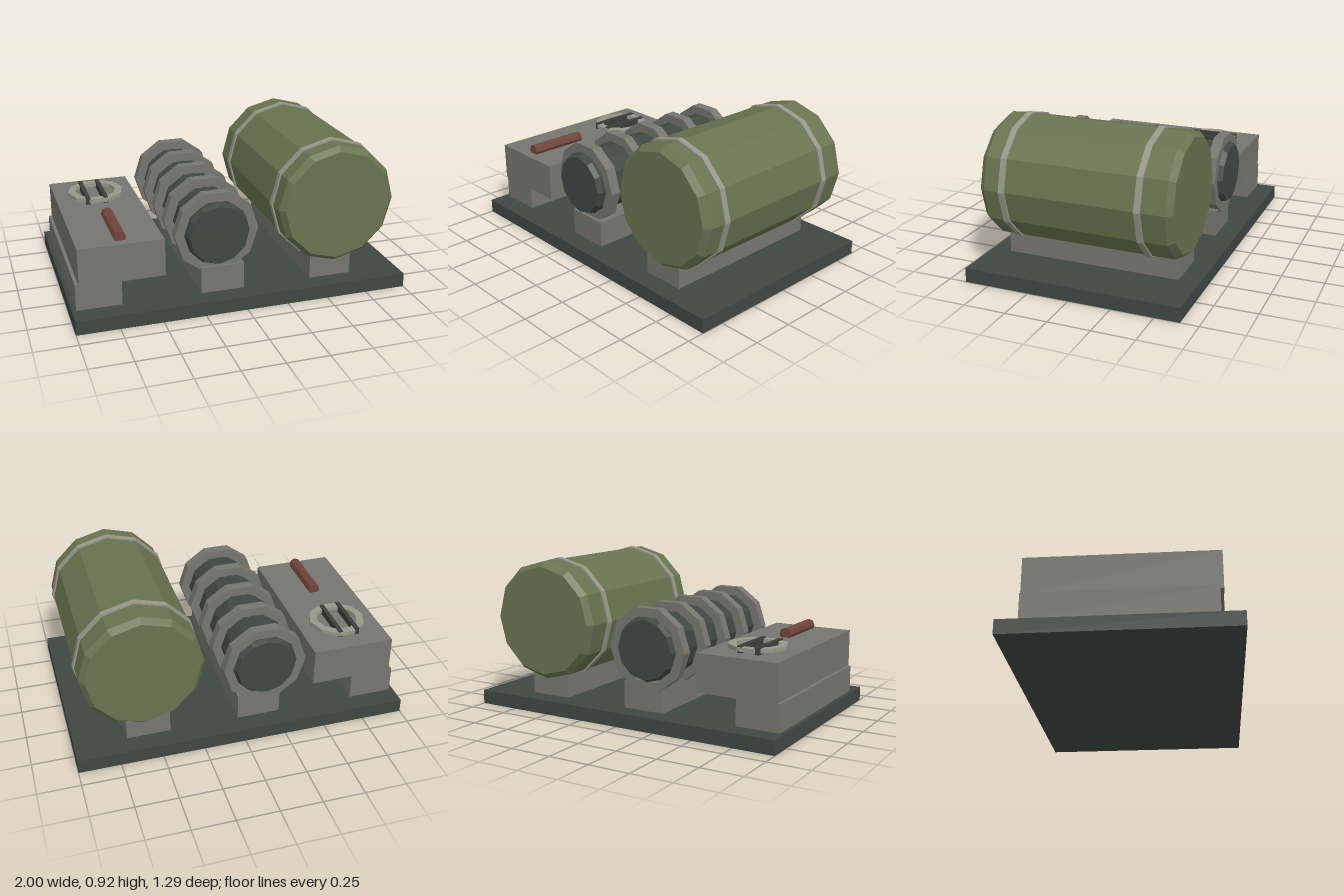
import * as THREE from 'three';

const mat = (color) => new THREE.MeshStandardMaterial({ color, flatShading: true });

// regular polygon outline with a corner on the +x axis
function polygon(Type, radius, sides) {
  const path = new Type();
  for (let i = 0; i <= sides; i++) {
    const a = (i / sides) * Math.PI * 2;
    const x = radius * Math.cos(a), y = radius * Math.sin(a);
    if (i === 0) path.moveTo(x, y); else path.lineTo(x, y);
  }
  return path;
}

// flat polygonal ring, centred along z
function ringGeometry(outer, inner, sides, depth) {
  const shape = polygon(THREE.Shape, outer, sides);
  shape.holes.push(polygon(THREE.Path, inner, sides));
  return new THREE.ExtrudeGeometry(shape, { depth, bevelEnabled: false }).translate(0, 0, -depth / 2);
}

// closed drum along z with chamfered ends
function drumGeometry(radius, endRadius, length, chamfer, sides) {
  const h = length / 2;
  const profile = [[0, -h], [endRadius, -h], [radius, -h + chamfer], [radius, h - chamfer], [endRadius, h], [0, h]];
  return new THREE.LatheGeometry(profile.map(([x, y]) => new THREE.Vector2(x, y)), sides).rotateX(Math.PI / 2);
}

export function createModel() {
  const model = new THREE.Group();
  model.name = 'tankSkid';

  const dark = mat(0x3f4743);
  const grey = mat(0x76766f);
  const green = mat(0x68734f);
  const light = mat(0x97978a);
  const black = mat(0x3b3e39);
  const brown = mat(0x70443a);

  const add = (name, geometry, material, x = 0, y = 0, z = 0) => {
    const mesh = new THREE.Mesh(geometry, material);
    mesh.name = name;
    mesh.position.set(x, y, z);
    model.add(mesh);
    return mesh;
  };
  // box given by its limits on each axis
  const box = (name, material, [x0, x1], [y0, y1], [z0, z1]) =>
    add(name, new THREE.BoxGeometry(x1 - x0, y1 - y0, z1 - z0), material,
      (x0 + x1) / 2, (y0 + y1) / 2, (z0 + z1) / 2);

  // base plate and the supports standing on it
  box('basePlate', dark, [-1, 1], [0, 0.085], [-0.645, 0.645]);
  box('tankSupport', grey, [0.43, 0.69], [0.085, 0.235], [-0.525, 0.525]);
  box('coreSupport', grey, [-0.245, 0.015], [0.085, 0.245], [-0.525, 0.525]);
  box('cabinetSupport', grey, [-0.975, -0.71], [0.085, 0.245], [-0.525, 0.52]);

  // large tank with two straps
  add('tank', drumGeometry(0.36, 0.33, 1.135, 0.035, 12), green, 0.58, 0.55, 0);
  for (const z of [-0.38, 0.42])
    add('tankStrap', ringGeometry(0.37, 0.34, 12, 0.036), light, 0.58, 0.55, z);

  // ribbed cylinder in the middle
  add('core', drumGeometry(0.19, 0.175, 1.12, 0.03, 12), dark, -0.145, 0.45, -0.005);
  for (let i = 0; i < 5; i++)
    add('coreRing', ringGeometry(0.25, 0.195, 10, 0.062), grey, -0.145, 0.45, -0.505 + i * 0.245);

  // cabinet with a hand wheel and a grip on its top
  box('cabinet', grey, [-0.955, -0.46], [0.24, 0.465], [-0.525, 0.54]);
  add('wheelRim', ringGeometry(0.172, 0.125, 10, 0.024).rotateX(Math.PI / 2), light, -0.705, 0.486, -0.25);
  for (const x of [-0.775, -0.668])
    box('wheelBar', black, [x - 0.013, x + 0.013], [0.465, 0.506], [-0.41, -0.095]);
  add('grip', new THREE.CylinderGeometry(0.037, 0.037, 0.365, 8).rotateX(Math.PI / 2), brown, -0.705, 0.485, 0.303);

  return model;
}
